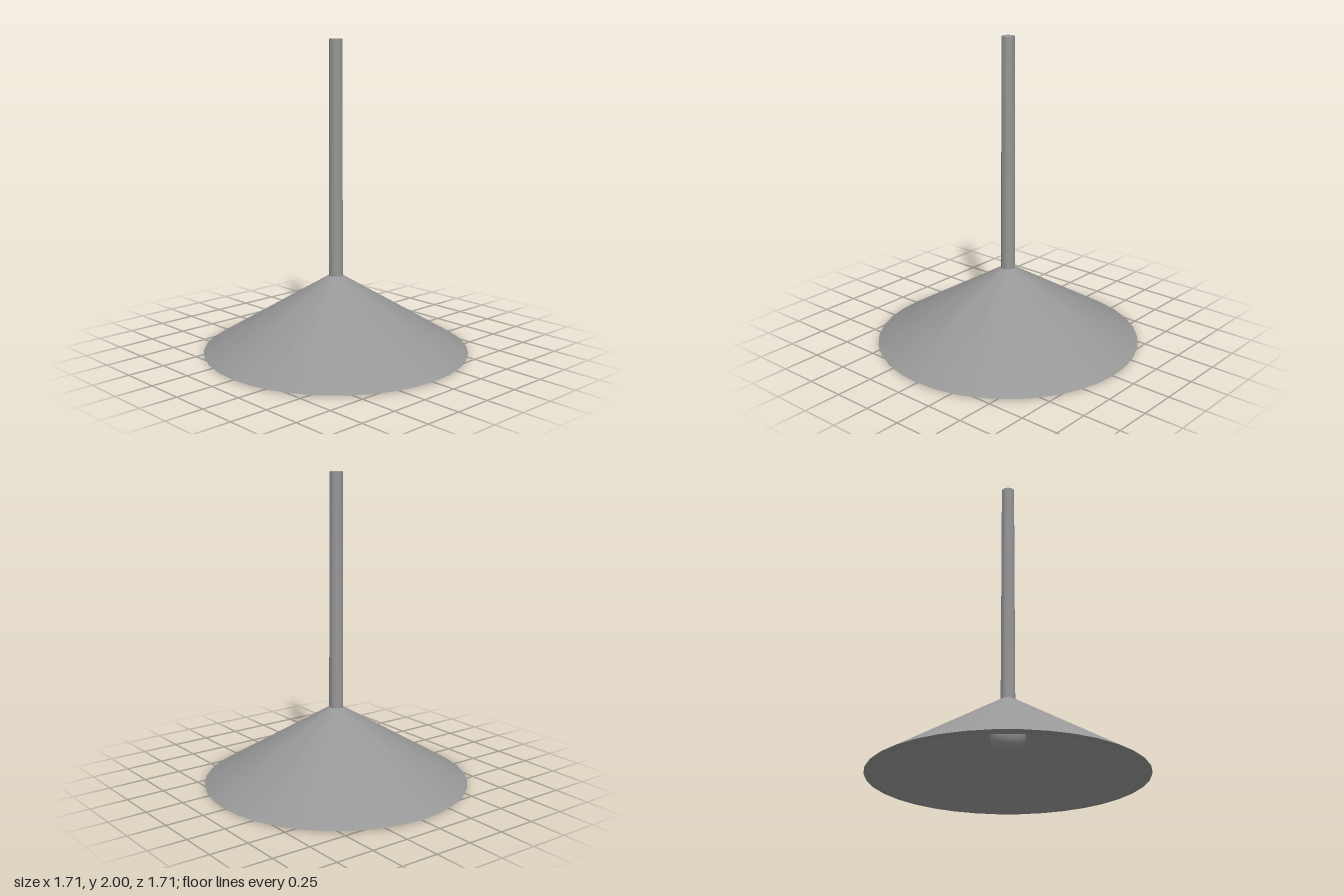
import * as THREE from 'three';
import { toCreasedNormals } from 'three/addons/utils/BufferGeometryUtils.js';

const material = new THREE.MeshStandardMaterial({ color: 0x979797, side: THREE.DoubleSide });

// Revolve a profile of [radius, height] points, keeping sharp edges
function turned(name, points, segments) {
  const profile = points.map(([r, y]) => new THREE.Vector2(r, y));
  const geometry = toCreasedNormals(new THREE.LatheGeometry(profile, segments), Math.PI / 6);
  const mesh = new THREE.Mesh(geometry, material);
  mesh.name = name;
  return mesh;
}

export function createModel() {
  const lamp = new THREE.Group();
  lamp.name = 'pendantLamp';

  // Conical shade with wall thickness and a slightly slanted rim
  lamp.add(turned('shade', [
    [0, 0.465], [0.04, 0.465], [0.8, 0], [0.854, 0.007], [0.045, 0.497], [0, 0.497],
  ], 36));

  // Hanging stem, tapering slightly towards the top
  lamp.add(turned('stem', [[0, 0.49], [0.045, 0.49], [0.041, 2], [0, 2]], 32));

  // Bulb: round bottom tapering up to the neck
  const radius = 0.108, centre = 0.26, bulb = [];
  for (let i = 0; i <= 14; i++) {
    const a = -Math.PI / 2 + (i / 14) * (Math.PI / 2 + 0.28);
    bulb.push([Math.max(0, radius * Math.cos(a)), centre + radius * Math.sin(a)]);
  }
  bulb.push([0.052, 0.465], [0, 0.465]);
  lamp.add(turned('bulb', bulb, 32));

  return lamp;
}
